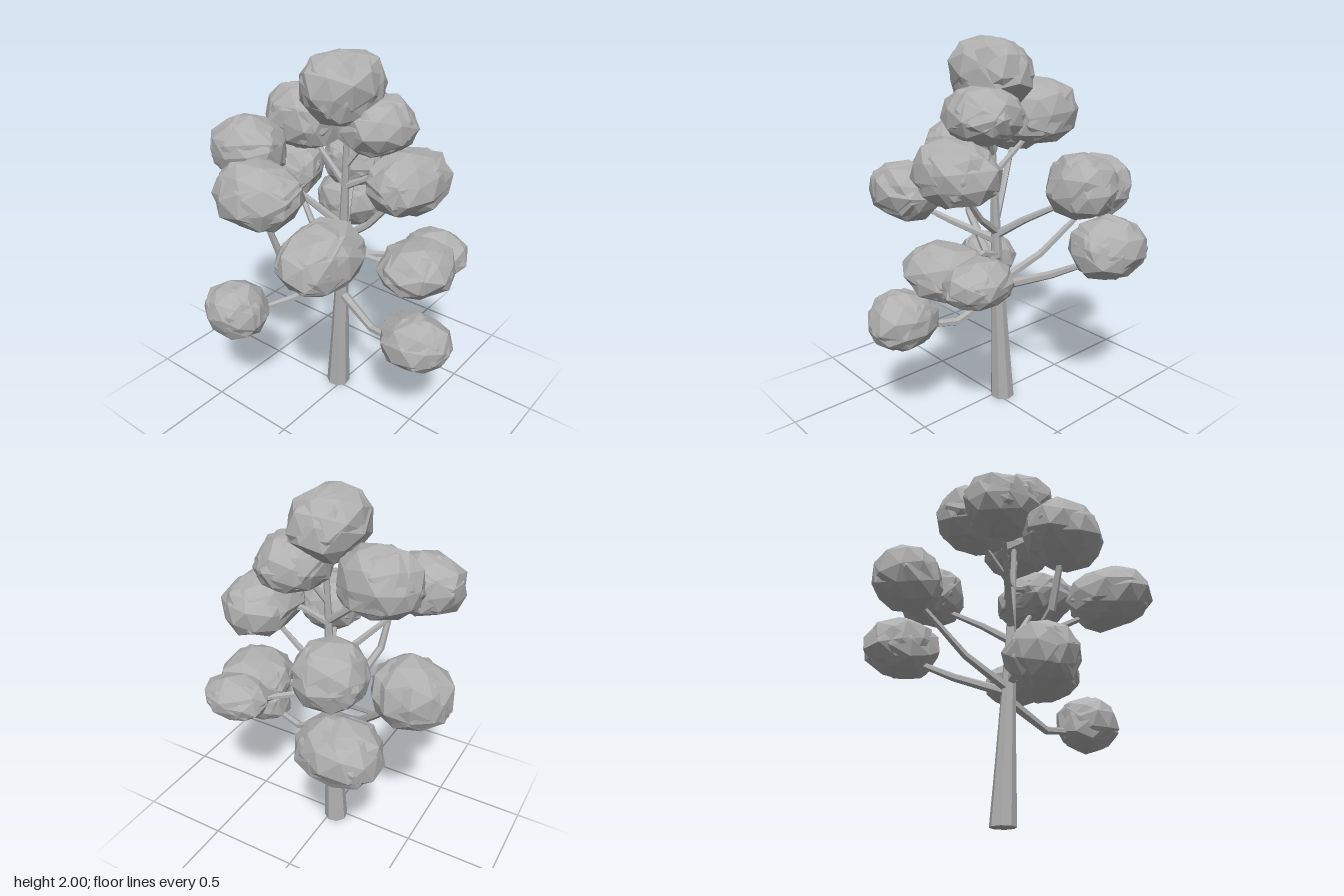
import * as THREE from 'three';
import { mergeGeometries } from 'three/addons/utils/BufferGeometryUtils.js';

const grey = new THREE.MeshStandardMaterial({ color: 0xb0b0b0, flatShading: true });
grey.name = 'matte grey';

// Repeatable value in 0..1 for a position and seed
function hash(x, y, z, seed) {
  const s = Math.sin(Math.round(x * 50) * 12.99 + Math.round(y * 50) * 78.23 + Math.round(z * 50) * 37.72 + seed * 5.17) * 4375.85;
  return s - Math.floor(s);
}

// Jagged low-poly shell, fuller than a sphere
function shell(seed) {
  const g = new THREE.IcosahedronGeometry(1, 1);
  const p = g.attributes.position;
  const v = new THREE.Vector3();
  const turn = new THREE.Euler(seed * 0.7, seed * 1.3, seed * 0.4);
  for (let i = 0; i < p.count; i++) {
    v.fromBufferAttribute(p, i);
    const r = 0.91 + 0.15 * hash(v.x, v.y, v.z, seed);
    v.applyEuler(turn);
    v.set(...v.toArray().map((c) => Math.sign(c) * Math.abs(c) ** 0.94)).multiplyScalar(r);
    // slightly flattened, heavier underside
    if (v.y < 0) v.y *= 0.9;
    p.setXYZ(i, v.x, v.y, v.z);
  }
  return g;
}

// Foliage clump: two crossing shells sized to the given half extents
function clump({ at, half }, seed) {
  const g = mergeGeometries([shell(seed), shell(seed + 20)]);
  g.center();
  const b = g.boundingBox.getSize(new THREE.Vector3());
  g.scale((2 * half[0]) / b.x, (2 * half[1]) / b.y, (2 * half[2]) / b.z);
  g.computeVertexNormals();
  const m = new THREE.Mesh(g, grey);
  m.position.set(...at);
  m.name = 'foliageClump' + (seed + 1);
  return m;
}

// Tapered limb through points with one radius each, with closed ends
function limb(name, pts, radii, sides) {
  const n = pts.length;
  const ref = pts[n - 1].clone().sub(pts[0]).cross(new THREE.Vector3(0, 1, 0)).normalize();
  const pos = [], idx = [];
  pts.forEach((p, i) => {
    const t = pts[Math.min(i + 1, n - 1)].clone().sub(pts[Math.max(i - 1, 0)]).normalize();
    const u = t.clone().cross(ref).normalize();
    const v = t.clone().cross(u);
    for (let j = 0; j < sides; j++) {
      const a = (j / sides) * Math.PI * 2;
      const q = p.clone().addScaledVector(u, Math.cos(a) * radii[i]).addScaledVector(v, Math.sin(a) * radii[i]);
      // the foot of the trunk stays level with the ground
      pos.push(q.x, p.y === 0 ? 0 : q.y, q.z);
      if (i < n - 1) {
        const k = (j + 1) % sides, o = i * sides, e = o + sides;
        idx.push(o + j, o + k, e + k, o + j, e + k, e + j);
      }
    }
  });
  const last = (n - 1) * sides;
  for (let j = 1; j < sides - 1; j++) idx.push(0, j + 1, j, last, last + j, last + j + 1);
  const g = new THREE.BufferGeometry();
  g.setAttribute('position', new THREE.Float32BufferAttribute(pos, 3));
  g.setIndex(idx);
  g.computeVertexNormals();
  const m = new THREE.Mesh(g, grey);
  m.name = name;
  return m;
}

// Trunk axis, leaning slightly, and its flared radius
const trunkTop = 1.75;
const trunkAt = (y) => new THREE.Vector3(0.028 - 0.01 * y, y, -0.033 + 0.042 * y);
const trunkRadius = (y) => 0.014 + 0.054 * (1 - y / trunkTop) ** 1.6;

// Branch leaves the trunk at height from, bends at height bend part of the way out, ends inside the clump
function branch({ at, half }, { from, bend, part }, name) {
  const start = trunkAt(from);
  const end = new THREE.Vector3(at[0], at[1] - 0.3 * half[1], at[2]);
  const elbow = start.clone().lerp(end, part).setY(bend);
  const r = 0.036 - 0.012 * from;
  return limb(name, [start, elbow, end], [r, r * 0.8, r * 0.5], 6);
}

// Each clump: centre, half extents and the branches that carry it
const clumps = [
  { at: [-0.01, 1.82, 0.02], half: [0.24, 0.18, 0.195], arms: [] },
  { at: [0.245, 1.2, -0.55], half: [0.175, 0.18, 0.195], arms: [{ from: 0.7, bend: 0.84, part: 0.42 }] },
  { at: [0.51, 0.965, -0.32], half: [0.18, 0.175, 0.21], arms: [{ from: 0.68, bend: 0.78, part: 0.5 }] },
  { at: [0.41, 1.285, -0.215], half: [0.19, 0.165, 0.185], arms: [{ from: 0.98, bend: 1.08, part: 0.35 }] },
  { at: [0.05, 1.615, -0.28], half: [0.175, 0.175, 0.21], arms: [{ from: 1.31, bend: 1.41, part: 0.4 }] },
  { at: [0.095, 1.64, 0.17], half: [0.21, 0.14, 0.18], arms: [{ from: 1.42, bend: 1.53, part: 0.5 }] },
  { at: [-0.25, 1.505, -0.38], half: [0.18, 0.165, 0.2], arms: [{ from: 1.06, bend: 1.24, part: 0.45 }] },
  { at: [-0.465, 0.64, -0.345], half: [0.165, 0.155, 0.175], arms: [{ from: 0.84, bend: 0.66, part: 0.45 }] },
  { at: [-0.45, 1.37, -0.14], half: [0.19, 0.17, 0.23], arms: [{ from: 0.73, bend: 1.0, part: 0.78 }] },
  { at: [-0.465, 1.175, 0.25], half: [0.235, 0.165, 0.18], arms: [{ from: 0.95, bend: 1.03, part: 0.5 }] },
  { at: [-0.09, 0.62, 0.555], half: [0.16, 0.155, 0.19], arms: [{ from: 0.64, bend: 0.53, part: 0.45 }] },
  {
    at: [0.11, 1.39, 0.345], half: [0.245, 0.16, 0.185],
    arms: [{ from: 1.0, bend: 1.1, part: 0.4 }, { from: 1.3, bend: 1.37, part: 0.4 }],
  },
  { at: [0.11, 0.92, 0.42], half: [0.21, 0.135, 0.205], arms: [{ from: 0.86, bend: 0.91, part: 0.3 }] },
  { at: [0.335, 0.91, 0.4], half: [0.145, 0.12, 0.19], arms: [{ from: 0.84, bend: 0.89, part: 0.3 }] },
];

export function createModel() {
  const tree = new THREE.Group();
  tree.name = 'tree';

  const heights = [0, 0.3, 0.65, 0.95, 1.25, 1.5, trunkTop];
  tree.add(limb('trunk', heights.map(trunkAt), heights.map(trunkRadius), 8));

  clumps.forEach((c, i) => {
    tree.add(clump(c, i));
    c.arms.forEach((arm, k) => tree.add(branch(c, arm, `branch${i + 1}${k ? 'Upper' : ''}`)));
  });
  return tree;
}
